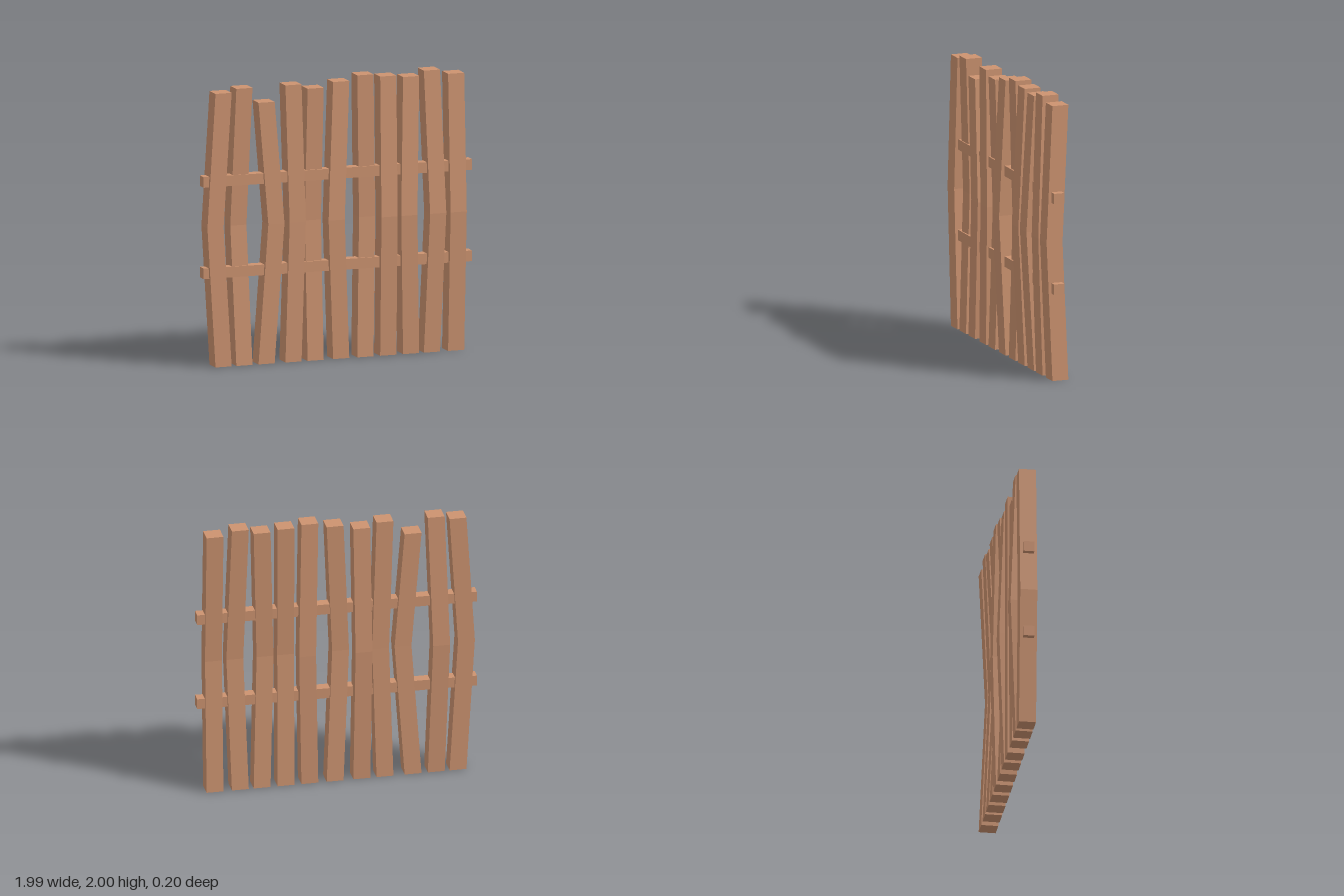
import * as THREE from 'three';

const WIDTH = 0.12;   // square section of each plank
const MID_Y = 0.99;   // height of the bend
const PLANK_Z = -0.005;

// [centre x, height, sideways bend, forward bend]
const PLANKS = [
  [-0.855, 1.94, -0.06, 0],
  [-0.7, 1.965, -0.03, -0.04],
  [-0.535, 1.855, 0.07, 0.008],
  [-0.335, 1.965, 0.03, 0.005],
  [-0.17, 1.93, -0.008, -0.035],
  [0.02, 1.965, -0.045, 0.03],
  [0.2, 2.0, 0.02, -0.02],
  [0.37, 1.98, -0.007, 0.045],
  [0.54, 1.965, -0.03, 0.045],
  [0.695, 2.0, 0.03, 0.045],
  [0.875, 1.965, 0.002, 0.045],
];

// Upright plank whose middle ring is pushed out of line
function bentPlank(height, dx, dz) {
  const geo = new THREE.BoxGeometry(WIDTH, height, WIDTH, 1, 2, 1);
  geo.translate(0, height / 2, 0);
  const p = geo.attributes.position;
  for (let i = 0; i < p.count; i++) {
    if (Math.abs(p.getY(i) - height / 2) < 0.01) {
      p.setXYZ(i, p.getX(i) + dx, MID_Y, p.getZ(i) + dz);
    }
  }
  geo.computeVertexNormals();
  return geo;
}

export function createModel() {
  const group = new THREE.Group();
  group.name = 'woodenFence';
  const wood = new THREE.MeshStandardMaterial({ color: 0xcc9370, flatShading: true });
  wood.name = 'wood';

  // Upright planks
  PLANKS.forEach(([x, height, dx, dz], i) => {
    const plank = new THREE.Mesh(bentPlank(height, dx, dz), wood);
    plank.name = `plank${i + 1}`;
    plank.position.set(x, 0, PLANK_Z);
    group.add(plank);
  });

  // Cross rails, running slightly askew through the planks
  [['lowerRail', 0.665], ['upperRail', 1.313]].forEach(([name, y]) => {
    const rail = new THREE.Mesh(new THREE.BoxGeometry(1.985, 0.075, 0.077), wood);
    rail.name = name;
    rail.position.set(-0.002, y, 0.01);
    rail.rotation.y = -0.0165;
    group.add(rail);
  });

  return group;
}
